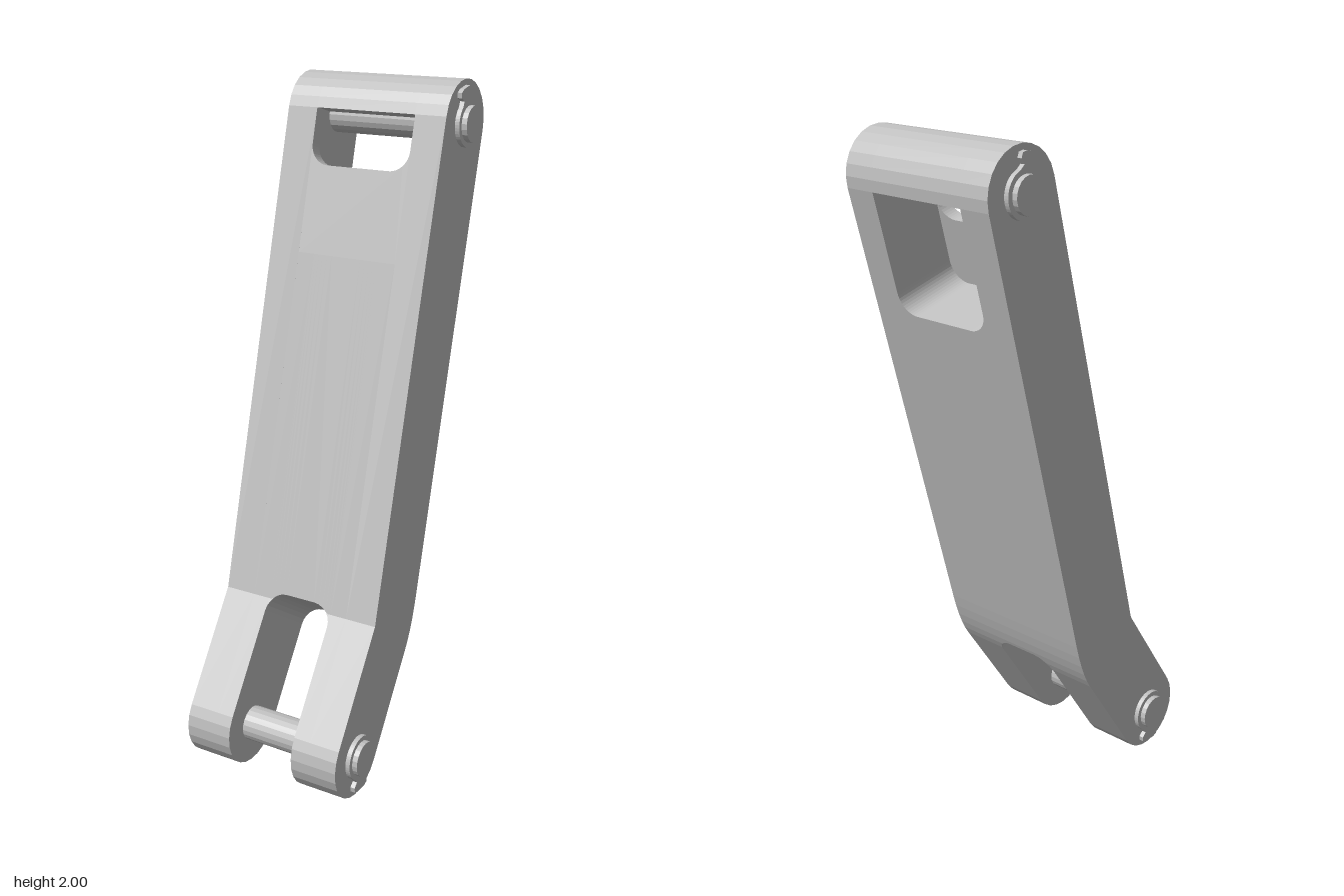
import * as THREE from 'three';

const rad = THREE.MathUtils.degToRad;
const R = 0.125;                 // half thickness of the arm
const HALF = 0.257;              // half width of the arm
const UP = 15, LOW = 34;         // lean of the upper and lower segments
const TOP = [-0.3, 1.875], BOT = [0.3, 0.125];   // pin centres as [z, y]

// [z, y] points on an arc round a pin centre
function arc(c, from, to, n = 12) {
  return Array.from({ length: n + 1 }, (_, i) => {
    const a = rad(from + ((to - from) * i) / n);
    return [c[0] + R * Math.cos(a), c[1] + R * Math.sin(a)];
  });
}

// [z, y] point given by distance along the upper segment and across it
function onUpper(w, n) {
  const s = Math.sin(rad(UP)), c = Math.cos(rad(UP));
  return [TOP[0] - s * w + c * n, TOP[1] + c * w + s * n];
}

// Extrude a [z, y] outline along x
function extrudeX(points, x0, x1) {
  const shape = new THREE.Shape(points.map(([z, y]) => new THREE.Vector2(-z, y)));
  const g = new THREE.ExtrudeGeometry(shape, { depth: x1 - x0, bevelEnabled: false });
  return g.rotateY(Math.PI / 2).translate(x0, 0, 0);
}

// Sill between the side rails with rounded inner corners, in the upper segment's plane
function sill(level, bottom, half, r, z0, z1) {
  const s = new THREE.Shape();
  s.moveTo(-half, bottom);
  s.lineTo(half, bottom);
  s.lineTo(half, level + r);
  s.absarc(half - r, level + r, r, 0, -Math.PI / 2, true);
  s.lineTo(-half + r, level);
  s.absarc(-half + r, level + r, r, -Math.PI / 2, -Math.PI, true);
  s.closePath();
  return new THREE.ExtrudeGeometry(s, { depth: z1 - z0, bevelEnabled: false, curveSegments: 6 })
    .translate(0, 0, z0);
}

// Web above the fork slot: sections across x, cut by the rounded slot end
function slotWeb(front, back, half, end, r) {
  const s = Math.sin(rad(LOW)), c = Math.cos(rad(LOW));
  const level = ([z, y]) => -s * (z - BOT[0]) + c * (y - BOT[1]);
  const clip = (line, t) => line.map((p, i) => {
    if (level(p) >= t) return p;
    let k = i;
    while (k > 0 && level(line[k - 1]) < t) k--;
    const a = line[k - 1], b = line[k];
    const f = (t - level(a)) / (level(b) - level(a));
    return [a[0] + f * (b[0] - a[0]), a[1] + f * (b[1] - a[1])];
  });
  const stations = [];
  for (let i = 0; i <= 6; i++) {
    const a = (i / 6) * Math.PI / 2;
    stations.push([half - r + r * Math.cos(a), end - r + r * Math.sin(a)]);
  }
  const all = [...stations.map(([x, t]) => [-x, t]), ...stations.reverse()];
  const pos = [], idx = [];
  const n = front.length + back.length;
  all.forEach(([x, t], i) => {
    const ring = [...clip(front, t), ...clip(back, t).reverse()];
    ring.forEach(([z, y]) => pos.push(x, y, z));
    if (i === 0) return;
    for (let j = 0; j < n - 1; j++) {
      const a = (i - 1) * n + j, d = i * n + j;
      idx.push(a, a + 1, d + 1, a, d + 1, d);
    }
  });
  const g = new THREE.BufferGeometry();
  g.setAttribute('position', new THREE.Float32BufferAttribute(pos, 3));
  g.setIndex(idx);
  g.computeVertexNormals();
  return g;
}

// Retaining clip: round washer with a holed tab
function clipGeometry() {
  const r = 0.066, s = new THREE.Shape();
  s.absarc(0, 0, r, rad(60), rad(-240), true);
  s.lineTo(-0.022, 0.072);
  s.lineTo(-0.036, 0.085);
  s.lineTo(-0.034, 0.1);
  s.lineTo(-0.02, 0.106);
  s.lineTo(0.02, 0.106);
  s.lineTo(0.034, 0.1);
  s.lineTo(0.036, 0.085);
  s.lineTo(0.022, 0.072);
  s.closePath();
  const hole = new THREE.Path();
  hole.moveTo(-0.02, 0.084);
  hole.lineTo(-0.02, 0.094);
  hole.lineTo(0.02, 0.094);
  hole.lineTo(0.02, 0.084);
  hole.closePath();
  s.holes.push(hole);
  return new THREE.ExtrudeGeometry(s, { depth: 0.014, bevelEnabled: false, curveSegments: 20 })
    .rotateY(Math.PI / 2).translate(-0.007, 0, 0);
}

export function createModel() {
  const model = new THREE.Group();
  const steel = new THREE.MeshStandardMaterial({ color: 0xc0c0c0, flatShading: true });
  steel.name = 'plain steel grey';
  const add = (name, geometry, parent = model) => {
    const m = new THREE.Mesh(geometry, steel);
    m.name = name;
    parent.add(m);
    return m;
  };

  // Side outline: sharp bend in front, rounded bend behind
  const cut = -0.42, slot = 0.108, win = 0.16;
  const bend = [0.198, 0.5];
  const curve = new THREE.QuadraticBezierCurve(
    new THREE.Vector2(-0.061, 0.5), new THREE.Vector2(-0.033, 0.395), new THREE.Vector2(0.004, 0.34));
  const backBend = curve.getPoints(5).map((p) => [p.x, p.y]);
  const bottomArc = arc(BOT, LOW, LOW - 180);
  const lowerOutline = [bend, ...bottomArc, ...backBend.slice().reverse()];

  // Side rails and fork arms
  for (const side of [-1, 1]) {
    const span = (a, b) => (side > 0 ? [a, b] : [-b, -a]);
    const name = side > 0 ? 'left' : 'right';
    add(name + 'Rail', extrudeX([...lowerOutline, ...arc(TOP, UP + 180, UP)], ...span(win, HALF)));
    add(name + 'ForkInner',
      extrudeX([onUpper(cut, R), ...lowerOutline, onUpper(cut, -R)], ...span(slot, win)));
  }

  // Rounded top bar over the upper pin
  add('topBar', extrudeX(arc(TOP, UP, UP + 180), -win, win));

  // Front wall with a small window, deeper pocket behind it
  const upper = new THREE.Group();
  upper.name = 'upperPocket';
  upper.position.set(0, TOP[1], TOP[0]);
  upper.rotation.x = -rad(UP);
  model.add(upper);
  add('windowWall', sill(-0.163, cut, win, 0.06, 0.085, R), upper);
  add('pocketFloor', sill(-0.355, cut, win, 0.06, -R, 0.085), upper);

  // Solid web down to the fork slot
  add('slotWeb', slotWeb(
    [onUpper(cut, R), bend, bottomArc[0]],
    [onUpper(cut, -R), ...backBend, bottomArc[12]],
    slot, 0.39, 0.06));

  // Pins with retaining clips at both ends
  for (const [name, [z, y], turn] of [['upperPin', TOP, 12], ['lowerPin', BOT, 180]]) {
    const pin = new THREE.Group();
    pin.name = name;
    pin.position.set(0, y, z);
    pin.rotation.x = rad(turn);
    model.add(pin);
    add(name + 'Shaft', new THREE.CylinderGeometry(0.052, 0.052, 0.574, 20).rotateZ(Math.PI / 2), pin);
    for (const side of [-1, 1]) {
      add(name + 'Clip', clipGeometry(), pin).position.x = side * (HALF + 0.007);
    }
  }
  return model;
}
